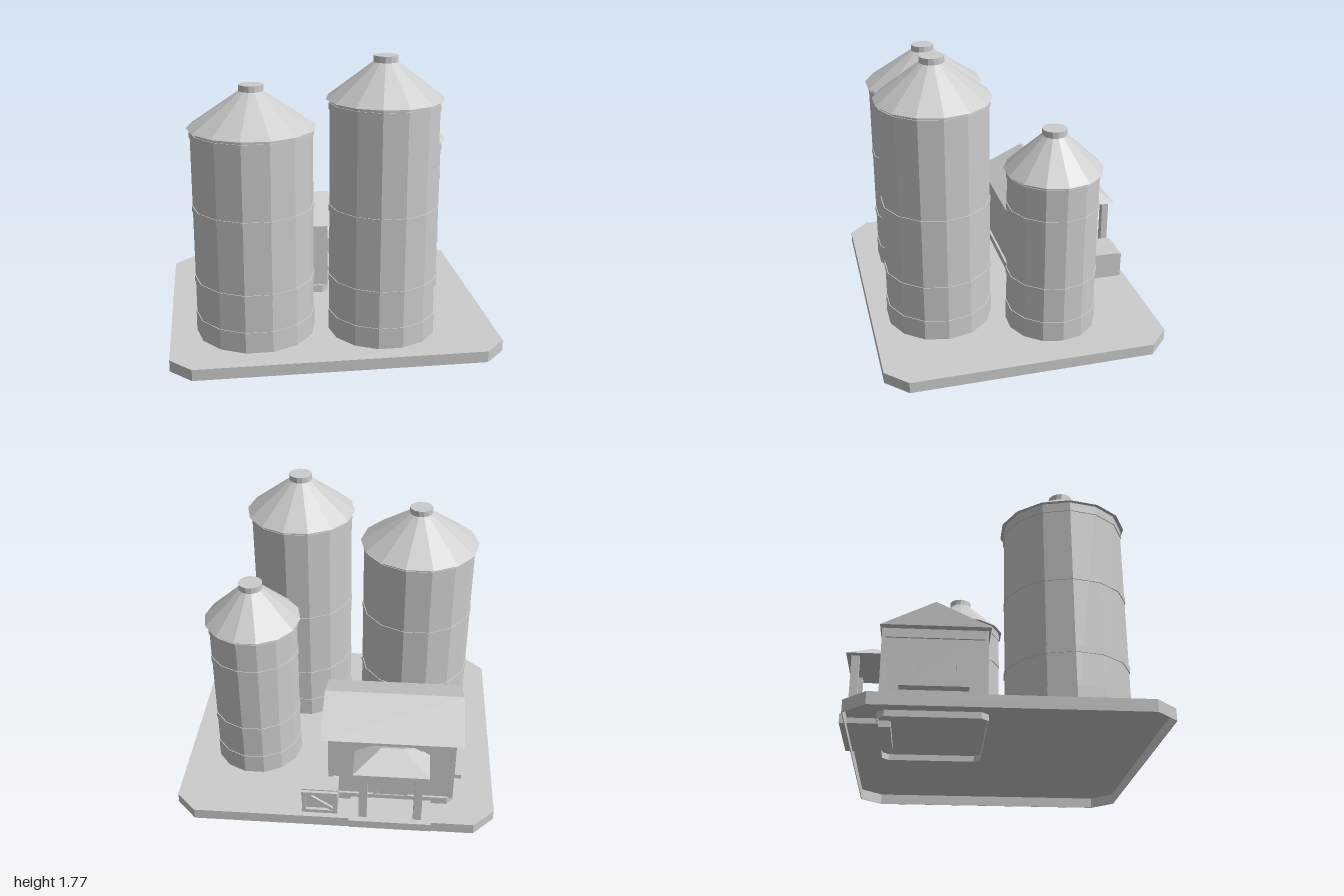
import * as THREE from 'three';

const grey = new THREE.MeshStandardMaterial({ color: 0xcccccc, flatShading: true });
grey.name = 'plain grey';

function add(parent, name, geometry, x = 0, y = 0, z = 0) {
  const mesh = new THREE.Mesh(geometry, grey);
  mesh.name = name;
  mesh.position.set(x, y, z);
  parent.add(mesh);
  return mesh;
}

// Box given by its lower and upper limits on each axis
function box(parent, name, x0, x1, y0, y1, z0, z1) {
  return add(parent, name, new THREE.BoxGeometry(x1 - x0, y1 - y0, z1 - z0),
    (x0 + x1) / 2, (y0 + y1) / 2, (z0 + z1) / 2);
}

function group(parent, name) {
  const g = new THREE.Group();
  g.name = name;
  parent.add(g);
  return g;
}

// Rectangle with cut corners in plan, shrunk by an inset
function cutCorners(x0, x1, z0, z1, c, inset) {
  const a = x0 + inset, b = x1 - inset, d = -z1 + inset, e = -z0 - inset;
  const k = c - inset * 0.586;
  return [[a + k, d], [b - k, d], [b, d + k], [b, e - k], [b - k, e], [a + k, e], [a, e - k], [a, d + k]]
    .map(([x, y]) => new THREE.Vector2(x, y));
}

// Hollow tray turned upside down: a rim from y0 to y1 with a thin top
function tray(parent, name, limits, corner, y0, y1) {
  const g = group(parent, name);
  const rise = (shape, from, to) => new THREE.ExtrudeGeometry(shape, { depth: to - from, bevelEnabled: false })
    .rotateX(-Math.PI / 2).translate(0, from, 0);
  const rim = new THREE.Shape(cutCorners(...limits, corner, 0));
  rim.holes.push(new THREE.Path(cutCorners(...limits, corner, 0.004)));
  add(g, 'rim', rise(rim, y0, y1 - 0.004));
  add(g, 'top', rise(new THREE.Shape(cutCorners(...limits, corner, 0)), y1 - 0.004, y1));
}

// Fourteen-sided drum or frustum with a corner on the x axis
function drum(parent, name, rTop, rBottom, y0, y1) {
  const g = new THREE.CylinderGeometry(rTop, rBottom, y1 - y0, 14).rotateY(Math.PI / 2);
  return add(parent, name, g, 0, (y0 + y1) / 2, 0);
}

function silo(parent, name, x, z, eaveRadius, eaveY) {
  const s = group(parent, name);
  s.position.set(x, 0, z);
  const r = eaveRadius - 0.022;
  drum(s, 'wall', r, r, 0.067, eaveY);
  drum(s, 'baseBand', r + 0.005, r + 0.005, 0.067, 0.2);
  for (const y of [0.397, 0.845, eaveY - 0.058]) drum(s, 'band', r + 0.005, r + 0.005, y, y + 0.038);
  drum(s, 'roof', 0.07, eaveRadius, eaveY, eaveY + 0.215);
  drum(s, 'roofCap', 0.073, 0.073, eaveY + 0.21, eaveY + 0.25);
}

function house(parent) {
  const h = group(parent, 'house');
  const x0 = -0.725, x1 = 0.025, z0 = -0.675, z1 = -0.105, mid = -0.35;
  tray(h, 'foundation', [x0 - 0.02, x1 + 0.02, z0 - 0.015, z1 + 0.015], 0.04, 0.03, 0.12);
  box(h, 'walls', x0, x1, 0.1, 0.55, z0, z1);
  box(h, 'topBeam', x0 - 0.012, x1 + 0.012, 0.495, 0.55, z0 - 0.01, z1 + 0.01);
  for (const x of [x0, x1]) for (const z of [z0, z1])
    box(h, 'cornerPost', x - 0.015, x + 0.015, 0.12, 0.55, z - 0.01, z + 0.01);

  // Gabled roof
  const gable = new THREE.Shape([[0.08, 0.548], [0.695, 0.548], [0.39, 0.695]]
    .map(([a, b]) => new THREE.Vector2(a, b)));
  const roof = new THREE.ExtrudeGeometry(gable, { depth: 0.87, bevelEnabled: false });
  add(h, 'gableRoof', roof.rotateY(Math.PI / 2), -0.785, 0, 0);

  // Side windows with shutters and a ledge below
  for (const side of [-1, 1]) {
    const w = group(h, side < 0 ? 'rightWindow' : 'leftWindow');
    const face = side < 0 ? x0 : x1;
    const part = (name, out, ya, yb, za, zb) => {
      const end = face + side * out;
      box(w, name, Math.min(face, end), Math.max(face, end), ya, yb, za, zb);
    };
    for (const z of [-0.52, -0.26]) part('shutter', 0.02, 0.23, 0.42, z - 0.012, z + 0.012);
    part('ledge', 0.066, 0.19, 0.22, side < 0 ? -0.58 : -0.605, side < 0 ? -0.2 : -0.17);
  }

  // Door and frame on the back wall
  const d = group(h, 'door');
  box(d, 'doorPanel', mid - 0.08, mid + 0.08, 0.09, 0.4, z0 - 0.008, z0);
  for (const s of [-1, 1])
    box(d, 'doorJamb', mid + s * 0.095 - 0.013, mid + s * 0.095 + 0.013, 0.09, 0.43, z0 - 0.014, z0);
  box(d, 'doorLintel', mid - 0.12, mid + 0.12, 0.395, 0.43, z0 - 0.016, z0);
}

function porch(parent) {
  const p = group(parent, 'porch');
  const mid = -0.353;
  box(p, 'deck', -0.605, -0.102, 0.035, 0.09, -0.897, -0.69);
  box(p, 'doorStep', -0.57, -0.14, 0.03, 0.11, -0.69, -0.62);
  for (const x of [mid - 0.167, mid + 0.167])
    box(p, 'post', x - 0.025, x + 0.025, 0.09, 0.465, -0.86, -0.815);
  // Hipped roof: a box whose top is drawn in to a short ridge
  const g = new THREE.BoxGeometry(0.458, 0.1, 0.286);
  const pos = g.attributes.position;
  for (let i = 0; i < pos.count; i++) if (pos.getY(i) > 0) {
    pos.setX(i, Math.sign(pos.getX(i)) * 0.065);
    pos.setZ(i, Math.sign(pos.getZ(i)) * 0.0005);
  }
  g.computeVertexNormals();
  add(p, 'hippedRoof', g, mid, 0.51, -0.745);
}

function crate(parent) {
  const c = group(parent, 'crate');
  const x0 = -0.027, x1 = 0.195, y0 = 0.066, y1 = 0.247, zb = -0.808;
  box(c, 'crateBody', x0, x1, y0, y1, zb, -0.632);
  // Raised frame and diagonal brace on the back face
  for (const y of [0.085, 0.228]) box(c, 'rail', x0, x1, y - 0.012, y + 0.012, zb - 0.02, zb);
  for (const x of [x0 + 0.014, x1 - 0.014]) box(c, 'stile', x - 0.012, x + 0.012, 0.073, 0.24, zb - 0.02, zb);
  const brace = add(c, 'brace', new THREE.BoxGeometry(0.235, 0.022, 0.015), (x0 + x1) / 2, 0.157, zb - 0.0075);
  brace.rotation.z = 0.62;
}

export function createModel() {
  const model = new THREE.Group();
  model.name = 'siloFarm';
  tray(model, 'groundSlab', [-1, 1, -0.86, 0.89], 0.13, 0, 0.07);
  silo(model, 'rightSilo', -0.472, 0.374, 0.384, 1.356);
  silo(model, 'tallSilo', 0.305, 0.453, 0.35, 1.522);
  silo(model, 'smallSilo', 0.545, -0.214, 0.298, 1.106);
  house(model);
  porch(model);
  crate(model);
  return model;
}
